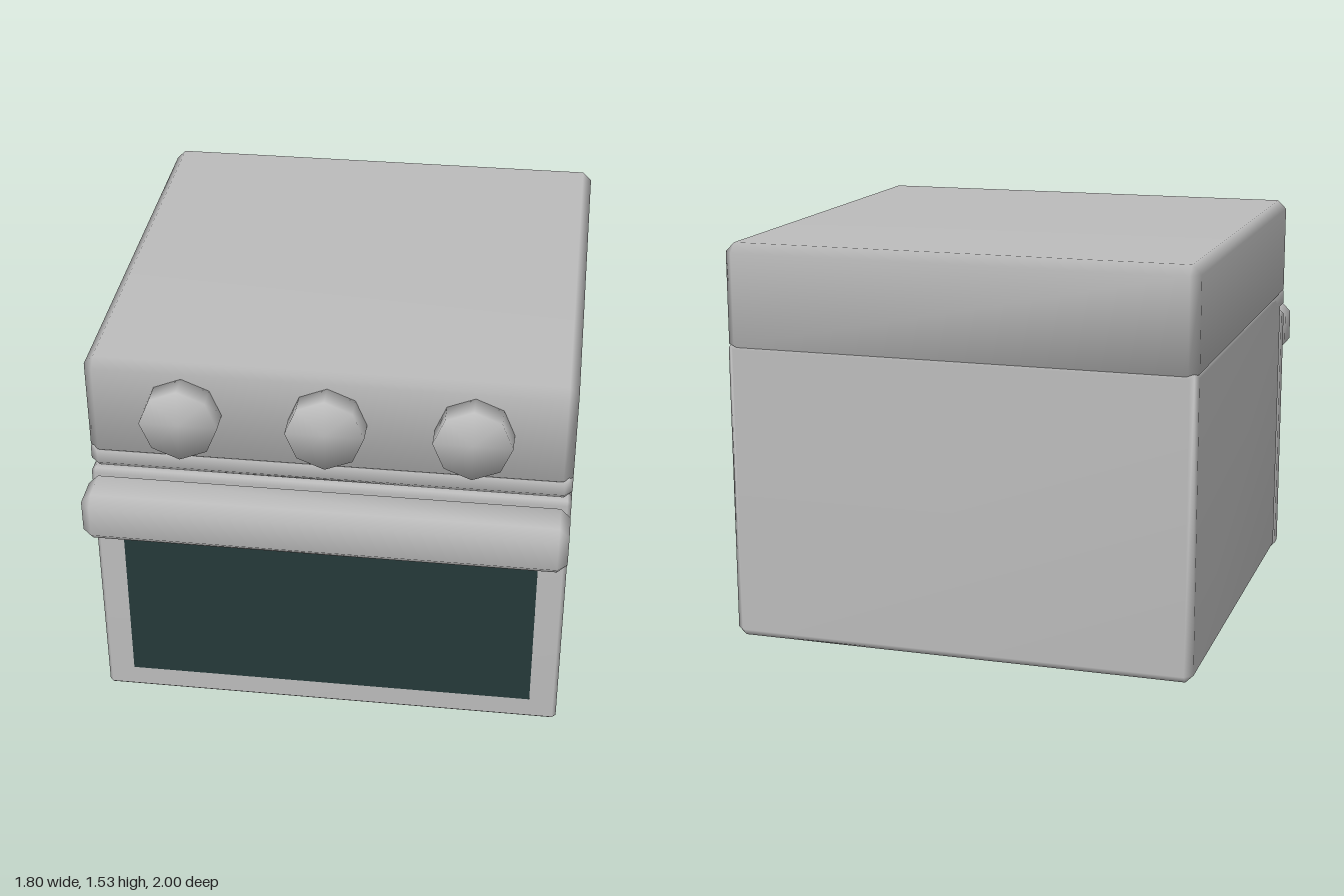
import * as THREE from 'three';
import { mergeVertices } from 'three/addons/utils/BufferGeometryUtils.js';
import { ConvexGeometry } from 'three/addons/geometries/ConvexGeometry.js';

const metal = new THREE.MeshStandardMaterial({ name: 'grey metal', color: 0xbcbcbc });
const glass = new THREE.MeshStandardMaterial({ name: 'dark glass', color: 0x253939 });

// Share vertices so the normals run smoothly across the bevels
function smooth(geometry) {
  geometry.deleteAttribute('normal');
  geometry.deleteAttribute('uv');
  const g = mergeVertices(geometry, 1e-4);
  g.computeVertexNormals();
  return g;
}

// Box between two heights and two depths, bevelled by c;
// the bottom and top bevels may differ
function bevelBox(halfWidth, y0, y1, z0, z1, c, bottom = c, top = c) {
  const points = [];
  const zm = (z0 + z1) / 2, halfDepth = (z1 - z0) / 2;
  for (const sx of [-1, 1]) for (const sz of [-1, 1]) {
    const add = (x, y, z) => points.push(
      new THREE.Vector3(sx * (halfWidth - x), y, zm + sz * (halfDepth - z)));
    for (const y of [y0 + bottom, y1 - top]) {
      add(c, y, 0);
      add(0, y, c);
    }
    add(bottom, y0, bottom);
    add(top, y1, top);
  }
  return smooth(new ConvexGeometry(points));
}

export function createModel() {
  const group = new THREE.Group();
  const add = (name, geometry, material = metal) => {
    const mesh = new THREE.Mesh(geometry, material);
    mesh.name = name;
    group.add(mesh);
    return mesh;
  };

  // Cabinet, front lip and the hob slab, whose tapered underside sits in the cabinet
  add('cabinet', bevelBox(0.9, 0, 1.15, -1, 0.715, 0.03, 0.03, 0.015));
  add('frontLip', bevelBox(0.9, 1.06, 1.155, 0.5, 0.8, 0.03, 0.03, 0.015));
  add('topSlab', bevelBox(0.9, 0.85, 1.535, -1, 0.8, 0.035, 0.3, 0.035));

  // Door with window and handle
  add('door', bevelBox(0.9, 0, 1.055, 0.715, 0.8, 0.015));
  add('window', new THREE.BoxGeometry(1.585, 0.7, 0.008), glass).position.set(0, 0.45, 0.8);
  add('handle', bevelBox(0.9, 0.86, 1.055, 0.8, 1, 0.037));

  // Eight-sided knobs
  const knob = smooth(new THREE.CylinderGeometry(0.145, 0.145, 0.1, 8).rotateX(Math.PI / 2));
  for (const x of [-0.535, 0, 0.535]) {
    add('knob', knob).position.set(x, 1.337, 0.84);
  }
  return group;
}
